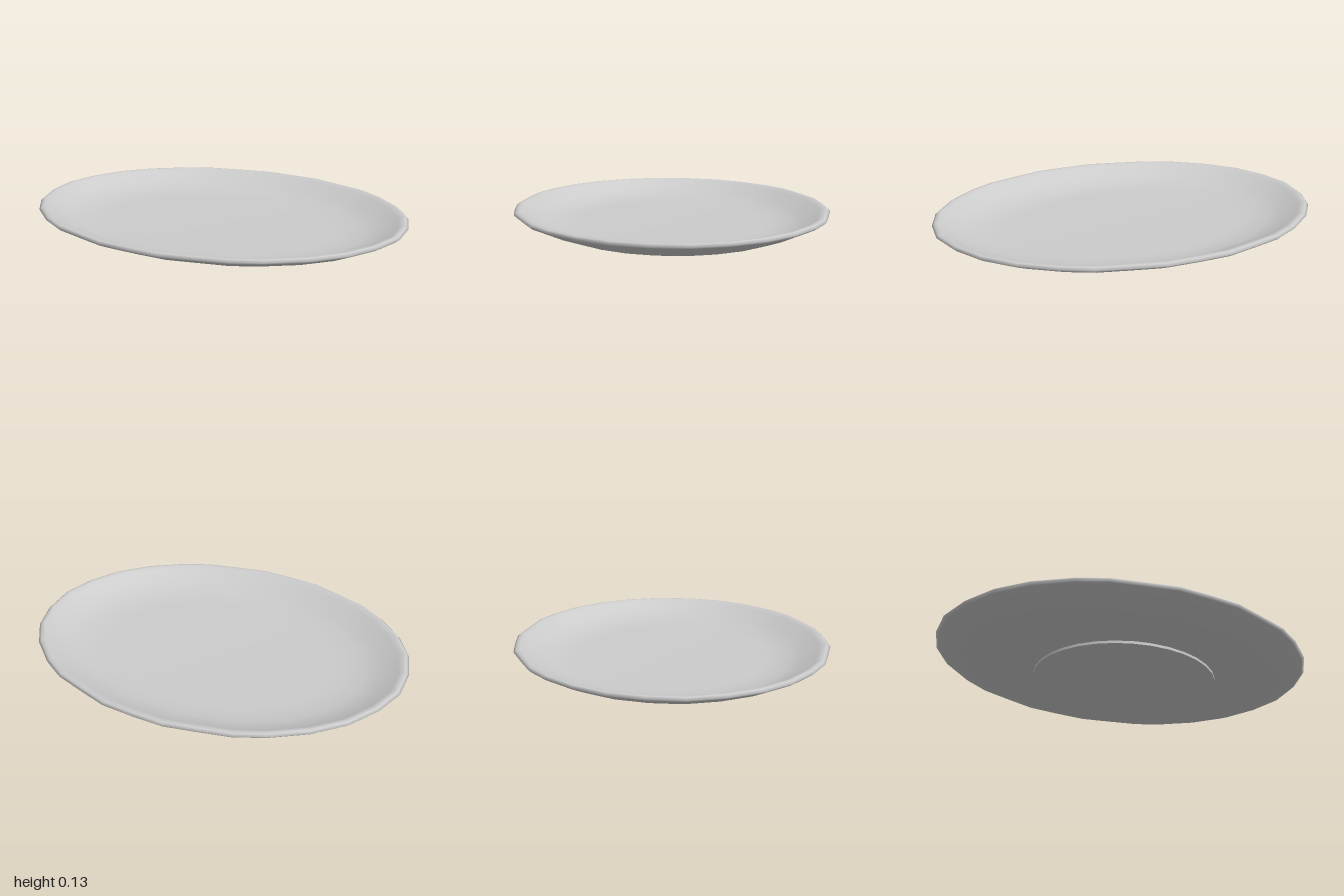
import * as THREE from 'three';

const material = new THREE.MeshStandardMaterial({ color: 0xcccccc });

// Quarter of the faceted oval outline, from +x round to +z (unit half-width and half-depth)
const QUARTER = [
  [1, 0], [0.97, 0.225], [0.9, 0.437], [0.785, 0.622], [0.628, 0.782],
  [0.49, 0.879], [0.325, 0.94], [0.165, 0.995], [0, 1],
];

// Mirror the quarter into a closed loop of 32 points
function ovalOutline() {
  const back = QUARTER.slice(0, -1).reverse();
  const half = [...QUARTER, ...back.map(([x, z]) => [-x, z])];
  return [...half, ...half.slice(1, -1).reverse().map(([x, z]) => [x, -z])];
}

// Skin a stack of oval rings [halfWidth, halfDepth, y]
function loftRings(rings) {
  const outline = ovalOutline();
  const n = outline.length;
  const positions = [];
  const index = [];
  for (const [w, d, y] of rings) {
    for (const [x, z] of outline) positions.push(x * w, y, z * d);
  }
  for (let i = 0; i < rings.length - 1; i++) {
    for (let j = 0; j < n; j++) {
      const k = (j + 1) % n;
      const a = i * n + j, b = a + n, c = i * n + k, d = c + n;
      index.push(a, b, c, c, b, d);
    }
  }
  const geometry = new THREE.BufferGeometry();
  geometry.setAttribute('position', new THREE.Float32BufferAttribute(positions, 3));
  geometry.setIndex(index);
  geometry.computeVertexNormals();
  return geometry;
}

export function createModel() {
  const group = new THREE.Group();
  group.name = 'ovalPlate';

  // Underside, rolled rim and inner slope in one smooth skin
  const body = new THREE.Mesh(loftRings([
    [0.46, 0.41, 0.012],
    [0.62, 0.51, 0.021],
    [0.79, 0.605, 0.032],
    [0.9, 0.705, 0.068],
    [0.985, 0.79, 0.105],
    [1, 0.803, 0.117],
    [0.988, 0.791, 0.128],
    [0.97, 0.772, 0.13],
    [0.95, 0.75, 0.119],
    [0.87, 0.67, 0.08],
    [0.78, 0.6, 0.056],
    [0.67, 0.52, 0.047],
    [0.6, 0.46, 0.046],
    [0.005, 0.005, 0.046],
  ]), material);
  body.name = 'plateBody';
  group.add(body);

  // Low foot under the plate
  const foot = new THREE.Mesh(new THREE.CylinderGeometry(1, 1, 0.016, 32), material);
  foot.name = 'foot';
  foot.scale.set(0.48, 1, 0.43);
  foot.position.y = 0.008;
  group.add(foot);

  return group;
}
